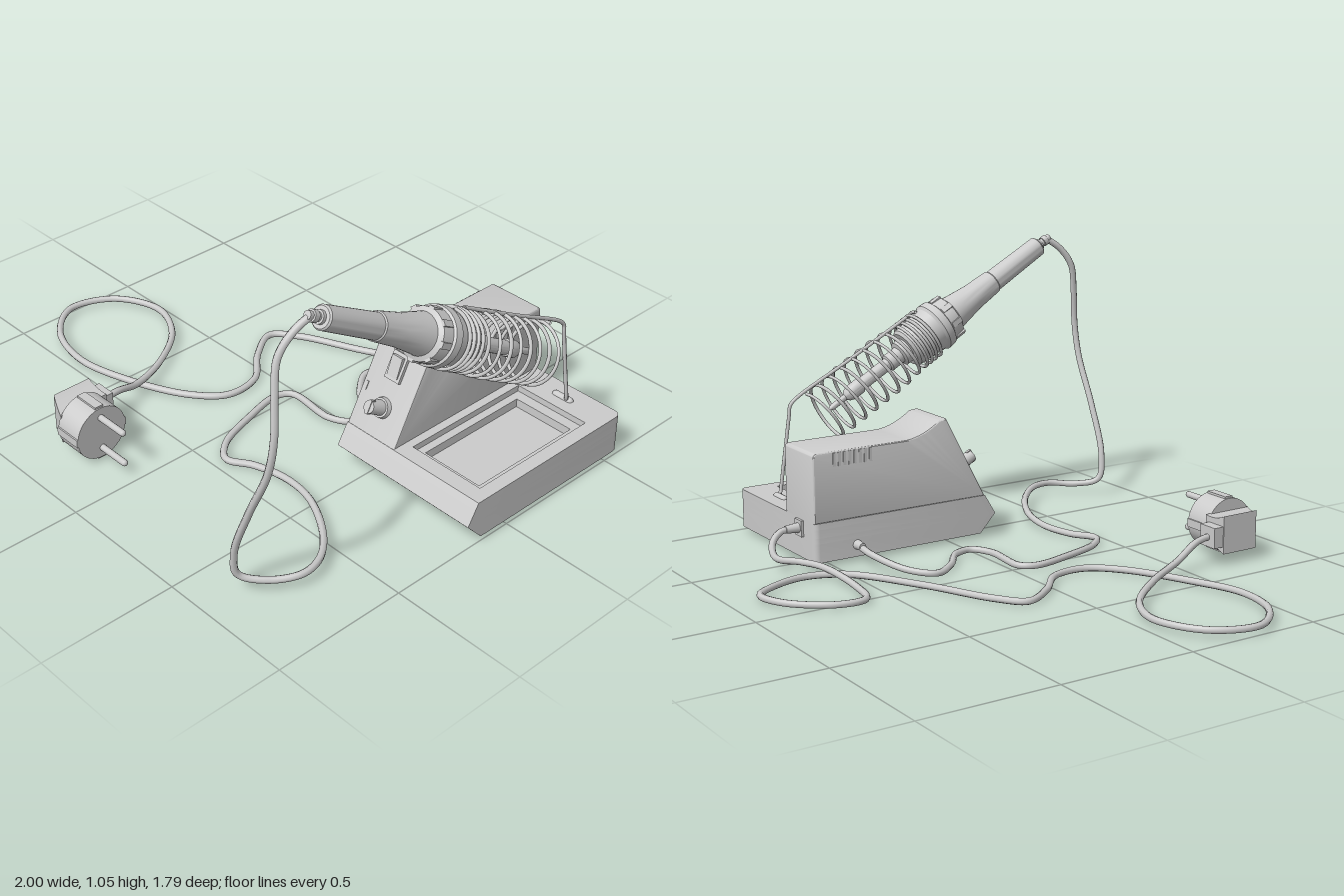
import * as THREE from 'three';
import { toCreasedNormals } from 'three/addons/utils/BufferGeometryUtils.js';

const V = (x, y, z) => new THREE.Vector3(x, y, z);
const mat = new THREE.MeshStandardMaterial({ color: 0xcccccc, side: THREE.DoubleSide });

function add(parent, name, geo, x = 0, y = 0, z = 0) {
  const m = new THREE.Mesh(geo, mat);
  m.name = name;
  m.position.set(x, y, z);
  parent.add(m);
  return m;
}
const box = (w, h, d) => new THREE.BoxGeometry(w, h, d);
const cyl = (r0, r1, h, n = 24) => new THREE.CylinderGeometry(r0, r1, h, n);
const tube = (pts, r, seg, sides = 8) =>
  new THREE.TubeGeometry(new THREE.CatmullRomCurve3(pts.map(p => V(...p))), seg, r, sides);
const lathe = (pts, n = 32) =>
  toCreasedNormals(new THREE.LatheGeometry(pts.map(p => new THREE.Vector2(...p)), n), 0.5);

// Horizontal slab of the base: rounded back corners, sloped front edge, optional opening
function slab(y0, y1, front0, front1, hole) {
  const x0 = 0.4, x1 = 1, zb = -0.57, r = 0.03;
  const s = new THREE.Shape();
  s.moveTo(x0, 0.1);
  s.lineTo(x0, zb + r);
  s.quadraticCurveTo(x0, zb, x0 + r, zb);
  s.lineTo(x1 - r, zb);
  s.quadraticCurveTo(x1, zb, x1, zb + r);
  s.lineTo(x1, 0.1);
  if (hole) {
    const [a, b, c, d] = hole;
    s.holes.push(new THREE.Path([[a, c], [a, d], [b, d], [b, c]].map(p => new THREE.Vector2(...p))));
  }
  const g = new THREE.ExtrudeGeometry(s, { depth: y1 - y0, bevelEnabled: false, curveSegments: 6 });
  g.rotateX(Math.PI / 2).translate(0, y1, 0);
  const p = g.attributes.position;
  for (let i = 0; i < p.count; i++) {
    if (p.getZ(i) > 0.0999) p.setZ(i, p.getY(i) > (y0 + y1) / 2 ? front1 : front0);
  }
  return toCreasedNormals(g, 0.6);
}

function buildStation(root) {
  const g = new THREE.Group();
  g.name = 'station';
  root.add(g);
  // Base with a stepped tray
  add(g, 'baseBottom', slab(0.02, 0.09, 0.125, 0.19));
  add(g, 'baseTrayFloor', slab(0.09, 0.11, 0.19, 0.178));
  add(g, 'baseTrayWall', slab(0.11, 0.142, 0.178, 0.159, [0.68, 0.92, -0.4, 0.055]));
  add(g, 'baseTop', slab(0.142, 0.165, 0.159, 0.145, [0.65, 0.95, -0.44, 0.085]));

  // Control housing, profile in z and y
  const s = new THREE.Shape();
  s.moveTo(0.145, 0.163);
  s.lineTo(-0.02, 0.478);
  s.lineTo(-0.05, 0.475);
  s.quadraticCurveTo(-0.12, 0.425, -0.19, 0.42);
  s.lineTo(-0.55, 0.42);
  s.quadraticCurveTo(-0.57, 0.42, -0.57, 0.4);
  s.lineTo(-0.57, 0.163);
  const b = 0.008;
  const hg = new THREE.ExtrudeGeometry(s, {
    depth: 0.22 - 2 * b, bevelSize: b, bevelThickness: b, bevelOffset: -b, bevelSegments: 3, curveSegments: 10,
  });
  hg.rotateY(-Math.PI / 2);
  add(g, 'housing', toCreasedNormals(hg, 0.5), 0.62 - b, 0, 0);

  // Cooling slots along the upper side edges
  for (const x of [0.402, 0.618]) for (let i = 0; i < 8; i++) {
    add(g, 'vent', box(0.008, 0.05, 0.011), x, 0.39, -0.34 - i * 0.021);
  }

  // Controls on the sloped face
  const panel = new THREE.Group();
  panel.name = 'controlPanel';
  panel.position.set(0.515, 0.32, 0.0625);
  panel.rotation.x = -0.489;
  g.add(panel);
  add(panel, 'switchFrame', box(0.066, 0.1, 0.016), 0, 0.08, 0.005);
  add(panel, 'switchRocker', box(0.046, 0.075, 0.02), 0, 0.08, 0.012).rotation.x = 0.14;
  add(panel, 'knobSkirt', cyl(0.034, 0.037, 0.016), 0, -0.07, 0.008).rotation.x = Math.PI / 2;
  add(panel, 'knob', cyl(0.022, 0.028, 0.07, 16), 0, -0.07, 0.04).rotation.x = Math.PI / 2;
  add(panel, 'knobGrip', box(0.012, 0.05, 0.02), 0, -0.07, 0.068);
  for (const y of [0.145, -0.03]) add(panel, 'panelClip', box(0.008, 0.03, 0.006), -0.095, y, 0);

  // Cable outlets
  add(g, 'powerSocket', box(0.05, 0.06, 0.015), 0.51, 0.13, -0.572);
  add(g, 'powerRelief', cyl(0.014, 0.02, 0.06, 12), 0.51, 0.13, -0.6).rotation.x = -Math.PI / 2;
  add(g, 'ironRelief', cyl(0.014, 0.019, 0.05, 12), 0.385, 0.065, -0.4).rotation.z = Math.PI / 2;
}

function buildIron(root) {
  const g = new THREE.Group();
  g.name = 'iron';
  g.position.set(0.823, 1.015, 0.675);
  g.rotation.x = -2 * Math.PI / 3; // local +y runs to the tip, local +z is the upper side
  root.add(g);
  add(g, 'cordSleeve', lathe([[0, -0.06], [0.014, -0.06], [0.014, -0.045], [0.02, -0.045],
    [0.02, -0.025], [0.015, -0.025], [0.015, -0.012], [0.022, -0.012], [0.022, 0.01]], 16));
  add(g, 'handle', lathe([[0, 0], [0.034, 0], [0.039, 0.006], [0.043, 0.25], [0.047, 0.255],
    [0.053, 0.36], [0.064, 0.44], [0.074, 0.5], [0.078, 0.52], [0.078, 0.56]]));
  add(g, 'collar', lathe([[0.07, 0.475], [0.086, 0.485], [0.09, 0.53], [0.098, 0.535], [0.1, 0.565],
    [0.092, 0.575], [0.086, 0.62], [0.08, 0.7], [0.07, 0.71], [0, 0.71]]));
  for (let i = 0; i < 8; i++) {
    const a = i * Math.PI / 4;
    add(g, 'collarRib', box(0.022, 0.045, 0.014), 0.085 * Math.sin(a), 0.505, 0.085 * Math.cos(a)).rotation.y = a;
  }
  add(g, 'heater', lathe([[0.05, 0.7], [0.05, 0.74], [0.034, 0.745], [0.034, 0.8], [0.025, 0.805], [0.025, 0.94],
    [0.03, 0.945], [0.03, 0.99], [0.022, 1.01], [0.012, 1.02], [0.012, 1.08], [0.003, 1.105], [0, 1.105]], 20));

  // Spring holder: close turns at the collar, then open turns
  const pts = [], turns = 12, step = 20;
  for (let i = 0; i <= turns * step; i++) {
    const t = i / step, a = t * Math.PI * 2;
    const y = t < 4 ? 0.6 + 0.024 * t : 0.696 + 0.056 * (t - 4);
    const r = t < 4 ? 0.098 : 0.098 + 0.01 * Math.min(1, (t - 4) / 2);
    pts.push([r * Math.sin(a), y, r * Math.cos(a)]);
  }
  add(g, 'spring', tube(pts, 0.0065, 600, 6));
}

function buildStandWire(root) {
  const pts = [[0.823, 0.785, 0.065], [0.823, 0.65, -0.18], [0.823, 0.525, -0.415], [0.823, 0.5, -0.44],
    [0.823, 0.47, -0.444], [0.823, 0.3, -0.47], [0.823, 0.175, -0.49], [0.815, 0.168, -0.498], [0.77, 0.168, -0.5]];
  add(root, 'standWire', tube(pts, 0.007, 100, 8));
  const foot = add(root, 'standSocket', new THREE.CapsuleGeometry(0.014, 0.06, 4, 12), 0.8, 0.163, -0.5);
  foot.rotation.z = Math.PI / 2;
}

function buildCords(root) {
  const power = [[0.51, 0.13, -0.6], [0.51, 0.125, -0.65], [0.495, 0.09, -0.69], [0.46, 0.05, -0.695],
    [0.4, 0.04, -0.63], [0.3, 0.04, -0.592], [0.1, 0.02, -0.572], [-0.03, 0.018, -0.61], [-0.03, 0.018, -0.71],
    [0.08, 0.018, -0.85], [0.2, 0.018, -0.885], [0.26, 0.018, -0.81], [0.305, 0.016, -0.66], [0.25, 0.016, -0.53],
    [0, 0.016, -0.37], [-0.26, 0.016, -0.245], [-0.345, 0.016, -0.17], [-0.28, 0.016, -0.05],
    [-0.165, 0.016, 0.07], [-0.155, 0.016, 0.2], [-0.25, 0.016, 0.305], [-0.48, 0.018, 0.415],
    [-0.69, 0.025, 0.465], [-0.88, 0.03, 0.415], [-0.988, 0.03, 0.28], [-0.93, 0.03, 0.12],
    [-0.76, 0.03, 0.04], [-0.6, 0.03, 0.1], [-0.46, 0.04, 0.27], [-0.38, 0.06, 0.44],
    [-0.345, 0.1, 0.55], [-0.33, 0.108, 0.63]];
  add(root, 'powerCord', tube(power, 0.0125, 420));
  const iron = [[0.4, 0.065, -0.4], [0.3, 0.05, -0.395], [0.15, 0.025, -0.34], [0.085, 0.016, -0.26],
    [0.14, 0.016, -0.17], [0.245, 0.016, -0.08], [0.26, 0.016, -0.01], [0.19, 0.016, 0.033], [0, 0.016, 0.03],
    [-0.032, 0.016, 0.08], [0, 0.016, 0.24], [0.06, 0.016, 0.4], [0.13, 0.016, 0.457], [0.22, 0.016, 0.41],
    [0.35, 0.02, 0.383], [0.5, 0.03, 0.41], [0.68, 0.04, 0.52], [0.76, 0.05, 0.62], [0.77, 0.05, 0.7],
    [0.715, 0.045, 0.79], [0.655, 0.07, 0.86], [0.66, 0.17, 0.878], [0.73, 0.36, 0.878], [0.81, 0.55, 0.87],
    [0.83, 0.68, 0.862], [0.815, 0.82, 0.845], [0.8, 0.93, 0.82], [0.81, 1.0, 0.77], [0.823, 1.035, 0.715], [0.823, 1.03, 0.69]];
  add(root, 'ironCord', tube(iron, 0.0125, 400));
}

function buildPlug(root) {
  const g = new THREE.Group();
  g.name = 'plug';
  g.position.set(-0.225, 0.115, 0.755);
  root.add(g);
  const alongX = m => { m.rotation.z = Math.PI / 2; return m; };
  alongX(add(g, 'plugBody', toCreasedNormals(cyl(0.1, 0.1, 0.11, 32), 0.5)));
  // Earth clips and side guides
  for (const s of [-1, 1]) {
    add(g, 'earthClip', box(0.1, 0.012, 0.034), 0, s * 0.1, 0);
    add(g, 'sideGuide', box(0.11, 0.03, 0.012), 0, 0, s * 0.098);
    alongX(add(g, 'prong', cyl(0.012, 0.012, 0.13, 12), 0.11, s * 0.062, 0));
    alongX(add(g, 'prongTip', new THREE.SphereGeometry(0.012, 12, 8), 0.175, s * 0.062, 0));
  }
  // Waisted grip: outline in x and y, extruded along z
  const s = new THREE.Shape();
  s.moveTo(-0.15, -0.07);
  s.quadraticCurveTo(-0.1, -0.045, -0.05, -0.055);
  s.lineTo(-0.05, 0.055);
  s.quadraticCurveTo(-0.1, 0.045, -0.15, 0.07);
  const grip = new THREE.ExtrudeGeometry(s, { depth: 0.17, bevelEnabled: false, curveSegments: 8 });
  const p = grip.attributes.position;
  for (let i = 0; i < p.count; i++) { // far end slants toward the body
    if (p.getZ(i) > 0.1) p.setZ(i, 0.15 + 0.45 * (p.getX(i) + 0.15));
  }
  add(g, 'plugGrip', toCreasedNormals(grip, 0.5), 0, 0, -0.105);
  add(g, 'plugCordSleeve', box(0.078, 0.075, 0.06), -0.108, -0.006, -0.115);
}

export function createModel() {
  const root = new THREE.Group();
  root.name = 'solderingStation';
  buildStation(root);
  buildIron(root);
  buildStandWire(root);
  buildCords(root);
  buildPlug(root);
  return root;
}
